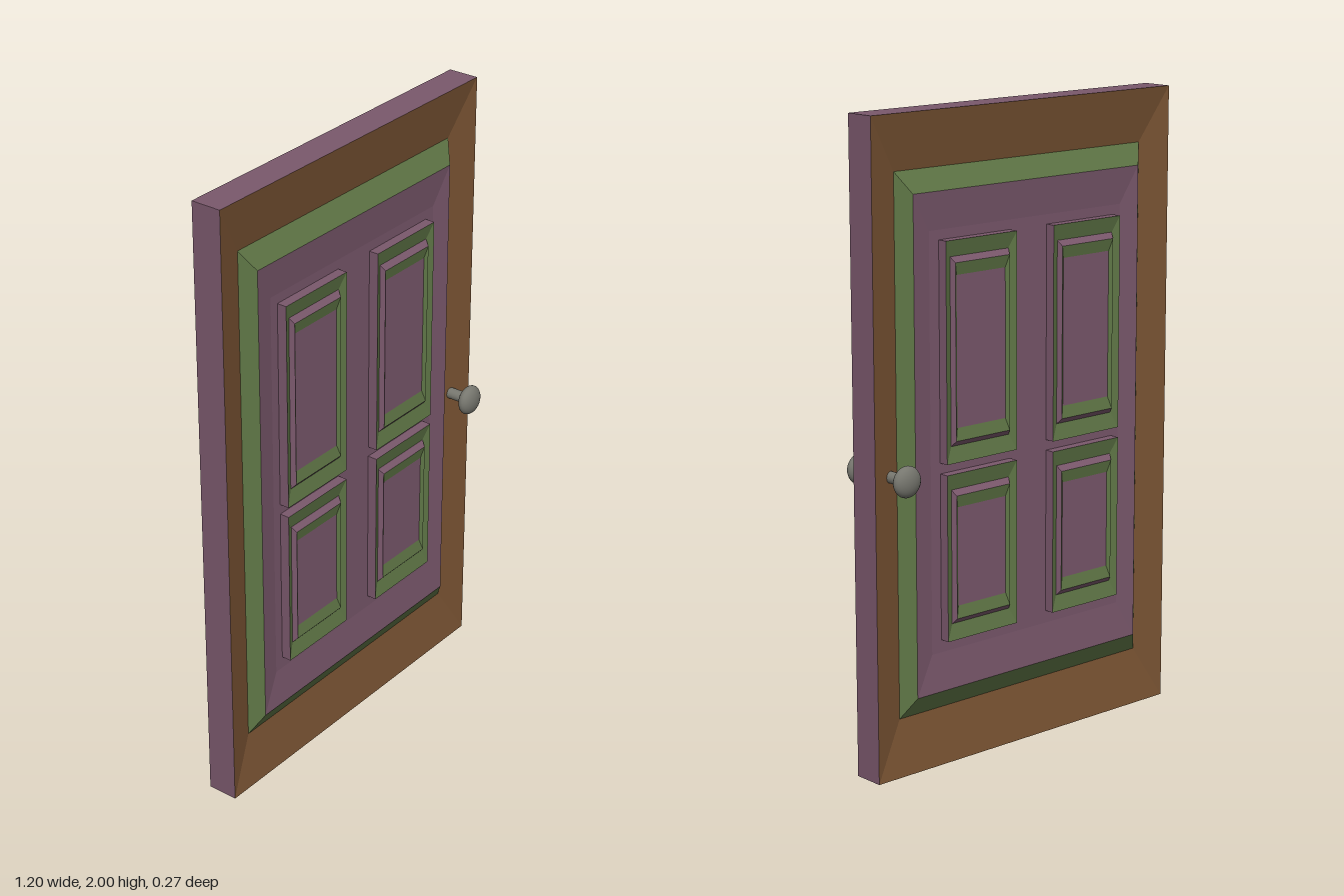
import * as THREE from 'three';

const material = (color, flatShading = true) => new THREE.MeshStandardMaterial({ color, flatShading });
const mauve = material(0x7a586c);
const brown = material(0x7a5433);
const green = material(0x5f7646);
const grey = material(0x77776f, false);

// Corners of a rectangle [x0, x1, y0, y1, z], counter-clockwise from the front
const corners = ([x0, x1, y0, y1, z], s) => [[x0, y0, z * s], [x1, y0, z * s], [x1, y1, z * s], [x0, y1, z * s]];

// Four mitred faces joining an outer rectangle to an inner one; s = -1 makes the back
function band(name, outer, inner, mat, s, closed = false) {
  const a = corners(outer, s), b = corners(inner, s), points = [];
  const quad = (p, q, r, t) => points.push(...(s > 0 ? [p, q, r, p, r, t] : [p, r, q, p, t, r]));
  if (closed) quad(...b);
  else for (let i = 0; i < 4; i++) {
    const j = (i + 1) % 4;
    quad(a[i], a[j], b[j], b[i]);
  }
  const geometry = new THREE.BufferGeometry();
  geometry.setAttribute('position', new THREE.Float32BufferAttribute(points.flat(), 3));
  geometry.computeVertexNormals();
  const mesh = new THREE.Mesh(geometry, mat);
  mesh.name = name;
  return mesh;
}

// Nested rectangles joined by bands, closed by a flat centre
function terrace(name, rings, parts, s) {
  const group = new THREE.Group();
  group.name = name;
  parts.forEach(([part, mat], i) => {
    const last = i === rings.length - 1;
    group.add(band(part, rings[i], rings[last ? i : i + 1], mat, s, last));
  });
  return group;
}

// Raised panel with a sunk border, a small moulding and a dished centre
function panel(name, x0, x1, y0, y1, s) {
  const inset = (dx, dy, z) => [x0 + dx, x1 - dx, y0 + dy, y1 - dy, z];
  return terrace(name, [
    inset(0, 0, 0.045), inset(0, 0, 0.081), inset(0.025, 0.05, 0.07),
    inset(0.033, 0.067, 0.085), inset(0.044, 0.105, 0.077),
  ], [
    ['panelSide', mauve], ['panelBorder', green], ['panelMoulding', mauve],
    ['panelDish', green], ['panelCentre', mauve],
  ], s);
}

// Flattened round knob on a short stem
function knob(s) {
  const group = new THREE.Group();
  group.name = s > 0 ? 'frontKnob' : 'backKnob';
  const stem = new THREE.Mesh(new THREE.CylinderGeometry(0.018, 0.018, 0.075, 20), grey);
  stem.name = 'knobStem';
  stem.rotation.x = Math.PI / 2;
  stem.position.z = s * 0.067;
  const ball = new THREE.Mesh(new THREE.SphereGeometry(0.048, 28, 18), grey);
  ball.name = 'knobBall';
  ball.scale.z = 0.56;
  ball.position.z = s * 0.106;
  group.add(stem, ball);
  group.position.set(0.527, 0.935, 0);
  return group;
}

export function createModel() {
  const door = new THREE.Group();
  door.name = 'door';
  for (const s of [1, -1]) {
    const face = new THREE.Group();
    face.name = s > 0 ? 'frontFace' : 'backFace';
    // Door leaf: edge, inward sloping frame, steep moulding and shallow dish
    face.add(terrace('leaf', [
      [-0.6, 0.6, 0, 2, 0], [-0.6, 0.6, 0, 2, 0.05], [-0.497, 0.495, 0.175, 1.83, 0.022],
      [-0.458, 0.455, 0.24, 1.765, 0.06], [-0.39, 0.387, 0.36, 1.65, 0.049],
    ], [
      ['doorEdge', mauve], ['frame', brown], ['moulding', green],
      ['fieldBevel', mauve], ['field', mauve],
    ], s));
    // Two columns of a tall panel over a short one
    for (const [side, x0, x1] of [['right', -0.36, -0.08], ['left', 0.07, 0.35]]) {
      face.add(panel(side + 'UpperPanel', x0, x1, 0.95, 1.62, s));
      face.add(panel(side + 'LowerPanel', x0, x1, 0.4, 0.917, s));
    }
    face.add(knob(s));
    door.add(face);
  }
  return door;
}
